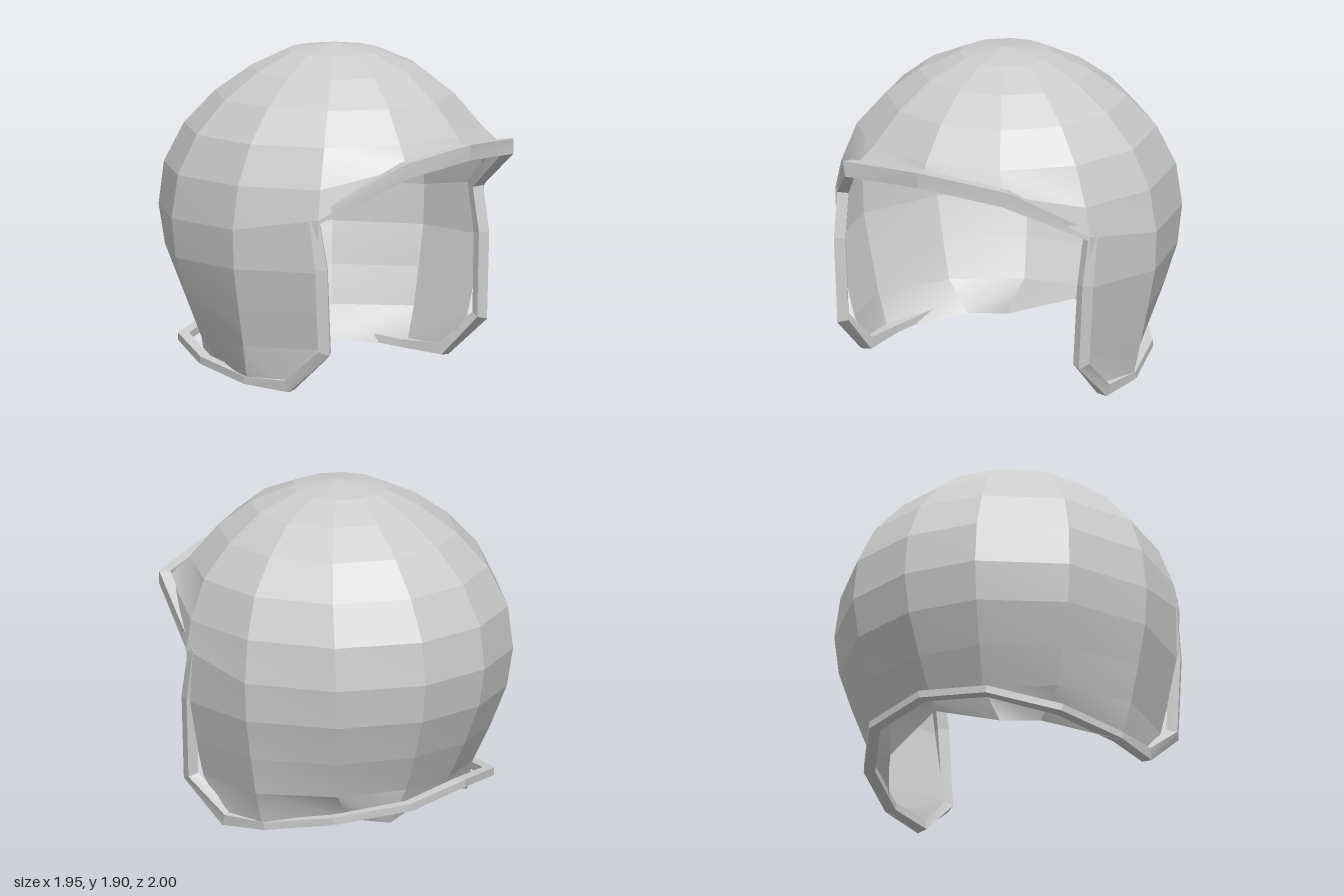
import * as THREE from 'three';

const TURN = 0.035; // slight twist of the whole helmet about its axis

function twist(x, y, z) {
  const c = Math.cos(TURN), s = Math.sin(TURN);
  return new THREE.Vector3(x * c - z * s, y, x * s + z * c);
}

// Mirror half a loop (front to back, +z side) into a full closed loop
function mirrorLoop(half) {
  const back = half.slice(1, -1).reverse().map(([x, y, z]) => [x, y, -z]);
  return [...half, ...back].map((p) => twist(...p));
}

// Each panel keeps its own corners, so it is shaded softly inside and creased at its edges
function meshFromPanels(name, panels) {
  const points = [], index = [];
  for (const panel of panels) {
    const start = points.length;
    const corners = panel.filter((p, i) => p.distanceTo(panel[(i + 1) % 4]) > 1e-4);
    points.push(...corners);
    if (corners.length === 3) index.push(start, start + 1, start + 2);
    if (corners.length === 4) index.push(start, start + 1, start + 3, start + 1, start + 2, start + 3);
  }
  const geometry = new THREE.BufferGeometry().setFromPoints(points);
  geometry.setIndex(index);
  geometry.computeVertexNormals();
  const mesh = new THREE.Mesh(geometry, new THREE.MeshStandardMaterial({
    color: 0xcccccc, side: THREE.DoubleSide,
  }));
  mesh.name = name;
  return mesh;
}

// Twelve-sided dome, cut away at the front for the face
function createShell() {
  const angles = [0, 30, 60, 90, 122, 154, 180, 207, 238, 270, 300, 330];
  // height, radius, narrowing toward the back, forward shift
  const rings = [
    [1.91, 0, 0, 0.04], [1.87, 0.27, 0, 0.035], [1.77, 0.49, 0, 0.05], [1.62, 0.69, 0, 0.04],
    [1.43, 0.86, 0, 0.03], [1.2, 0.96, 0, 0.01], [0.95, 1, 0.02, 0], [0.72, 0.99, 0.05, 0],
    [0.48, 0.94, 0.1, 0], [0.26, 0.89, 0.16, 0],
  ];
  // bottom edge by steps away from the front
  const hem = [null, null, [0.25, 0.02, 0.8], [-0.01, 0.03, 0.83], [-0.4, 0.09, 0.54],
    [-0.59, 0.06, 0.39], [-0.69, 0.19, 0]];

  const columns = angles.map((deg, k) => {
    const step = Math.min(k, 12 - k);
    const a = THREE.MathUtils.degToRad(deg);
    const column = rings.map(([y, r, narrow, shift], row) => {
      let radius = r - narrow * Math.max(0, -Math.cos(a));
      if (step < 2 && row >= 5) { // brow edge
        y = step ? 1.32 : 1.37;
        radius = step ? 1 : 0.92;
        shift = 0;
      } else if (step === 2 && row === 6) y = 1.03; // temple corner
      return twist(radius * Math.cos(a) + shift, y, radius * Math.sin(a));
    });
    if (step >= 2) {
      const [x, y, z] = hem[step];
      column.push(twist(x, y, k > 6 ? -z : z));
    }
    return column;
  });

  const panels = [];
  columns.forEach((column, k) => {
    const next = columns[(k + 1) % 12];
    const face = k < 2 || k > 9;
    const last = face ? 6 : rings.length;
    for (let i = 0; i < last; i++) panels.push([column[i], next[i], next[i + 1], column[i + 1]]);
  });
  return meshFromPanels('shell', panels);
}

// Rectangular edging strip running round the face opening and the hem
function createTrim() {
  const path = mirrorLoop([
    [0.94, 1.35, 0], [0.88, 1.31, 0.53], [0.455, 1.02, 0.84], [0.5, 0.74, 0.835],
    [0.505, 0.26, 0.81], [0.26, 0.045, 0.805], [-0.02, 0.055, 0.81], [-0.4, 0.12, 0.68],
    [-0.73, 0.19, 0.4], [-0.81, 0.24, 0],
  ]);
  const n = path.length;
  const sections = path.map((p, i) => {
    const before = p.clone().sub(path[(i + n - 1) % n]).normalize();
    const after = path[(i + 1) % n].clone().sub(p).normalize();
    const tangent = before.add(after).normalize();
    const out = new THREE.Vector3(p.x, 0, p.z).normalize();
    out.addScaledVector(tangent, -out.dot(tangent)).normalize();
    const side = tangent.clone().cross(out);
    const thick = 0.033;
    const wide = p.x > 0.8 ? 0.045 : p.x > 0.1 ? 0.035 : 0.022;
    return [[1, -1], [1, 1], [-1, 1], [-1, -1]].map(([u, v]) =>
      p.clone().addScaledVector(out, u * thick).addScaledVector(side, v * wide));
  });
  const panels = [];
  sections.forEach((section, i) => {
    const next = sections[(i + 1) % n];
    for (let j = 0; j < 4; j++) {
      const m = (j + 1) % 4;
      panels.push([section[j], section[m], next[m], next[j]]);
    }
  });
  return meshFromPanels('edgeTrim', panels);
}

export function createModel() {
  const helmet = new THREE.Group();
  helmet.name = 'helmet';
  helmet.add(createShell(), createTrim());
  return helmet;
}
